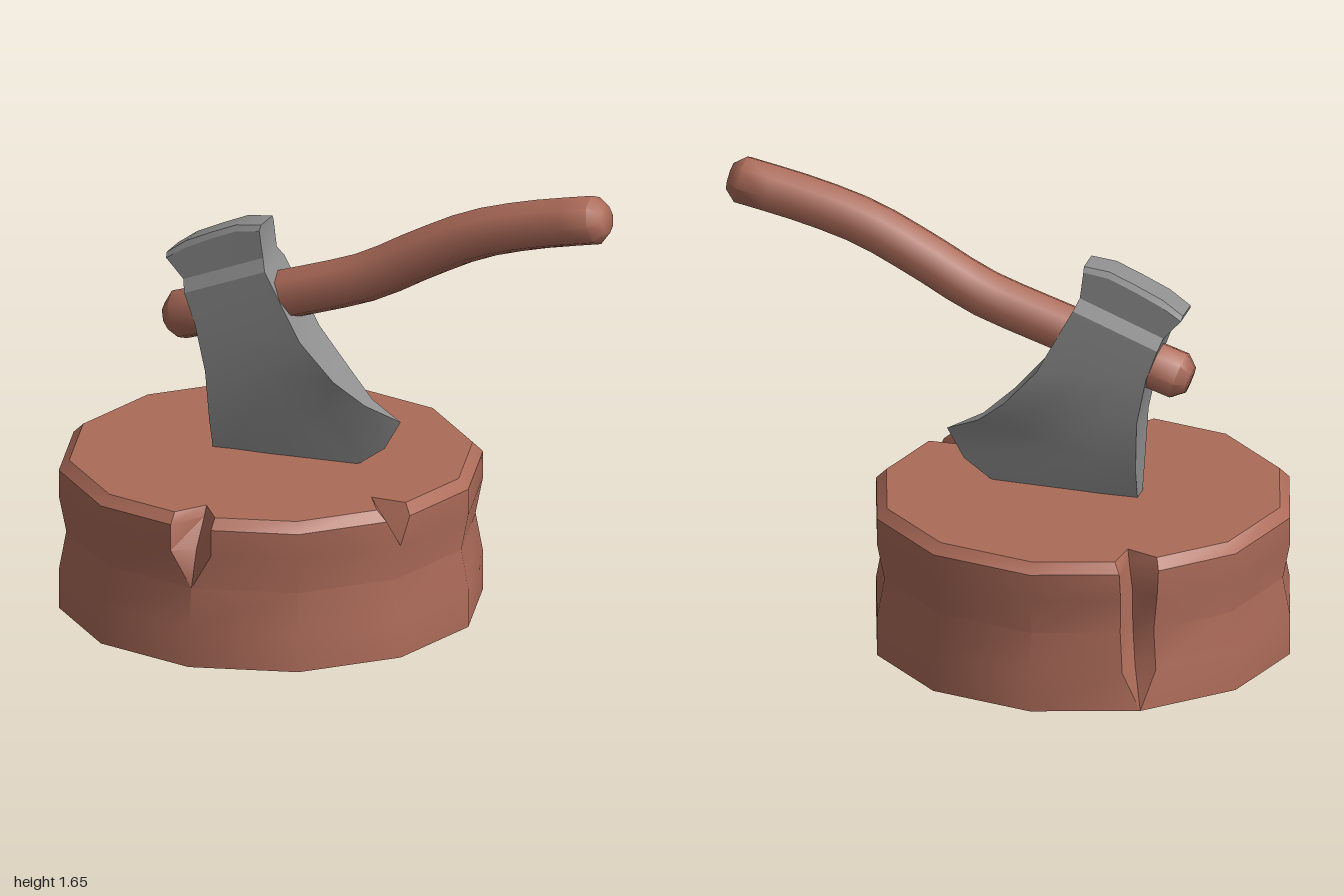
import * as THREE from 'three';
import { toCreasedNormals } from 'three/addons/utils/BufferGeometryUtils.js';

// Skin a list of equal-length closed rings (counter-clockwise about the direction of travel)
function loft(rings, { capStart = false, capEnd = false, crease = 0.6 } = {}) {
  const pos = [];
  const tri = (...pts) => pts.forEach(p => pos.push(p.x, p.y, p.z));
  const n = rings[0].length;
  for (let j = 0; j < rings.length - 1; j++) {
    for (let i = 0; i < n; i++) {
      const k = (i + 1) % n;
      const a = rings[j][i], b = rings[j][k], c = rings[j + 1][k], d = rings[j + 1][i];
      if (a.distanceTo(b) > 1e-5) tri(a, b, c);
      if (c.distanceTo(d) > 1e-5) tri(a, c, d);
    }
  }
  const cap = (ring, flip) => {
    const mid = ring.reduce((s, p) => s.add(p), new THREE.Vector3()).divideScalar(n);
    ring.forEach((p, i) => {
      const q = ring[(i + 1) % n];
      if (flip) tri(q, p, mid); else tri(p, q, mid);
    });
  };
  if (capStart) cap(rings[0], true);
  if (capEnd) cap(rings[rings.length - 1], false);
  const geo = new THREE.BufferGeometry();
  geo.setAttribute('position', new THREE.Float32BufferAttribute(pos, 3));
  return toCreasedNormals(geo, crease);
}

// Twelve-sided stump, open below, with three splits cut into its corners
function stumpGeometry() {
  const SIDES = 12, CX = -0.264;
  const levels = [[0, 0.736], [0.14, 0.736], [0.28, 0.71], [0.41, 0.736], [0.505, 0.736], [0.54, 0.70]];
  // corner index -> [half width, inner radius] for each level, null where uncut
  const splits = {
    0: [null, null, null, [0.075, 0.665], [0.075, 0.595], [0.075, 0.575]],
    2: [null, null, null, null, [0.05, 0.60], [0.062, 0.57]],
    7: [null, [0.06, 0.67], [0.06, 0.64], [0.065, 0.635], [0.07, 0.59], [0.075, 0.578]],
  };
  const rings = levels.map(([y, r], level) => {
    const corner = (i, rad = r) => {
      const a = (i / SIDES) * Math.PI * 2;
      return new THREE.Vector3(CX + rad * Math.sin(a), y, rad * Math.cos(a));
    };
    const side = 2 * r * Math.sin(Math.PI / SIDES);
    const ring = [];
    for (let i = 0; i < SIDES; i++) {
      if (!splits[i]) { ring.push(corner(i)); continue; }
      const [half, inner] = splits[i][level] ?? [0, r];
      const t = half / Math.cos(Math.PI / SIDES) / side;
      ring.push(corner(i).lerp(corner(i - 1), t), corner(i, inner), corner(i).lerp(corner(i + 1), t));
    }
    return ring;
  });
  // the top is a fan from the stump's axis
  rings.push(rings[rings.length - 1].map(() => new THREE.Vector3(CX, 0.54, 0)));
  return loft(rings);
}

// Curved octagonal handle with bevelled ends
function handleGeometry() {
  const curve = new THREE.CatmullRomCurve3([
    [-0.645, 0.98], [-0.4, 1.062], [-0.1, 1.162], [0.1, 1.235], [0.3, 1.345], [0.5, 1.445], [0.7, 1.508], [0.99, 1.572],
  ].map(([x, y]) => new THREE.Vector3(x, y, 0)));
  const stations = [[0, 0.05], [0.024, 0.088]];
  for (let i = 1; i < 16; i++) stations.push([0.024 + (i / 16) * 0.952, 0.088]);
  stations.push([0.976, 0.088], [1, 0.05]);
  const rings = stations.map(([t, r]) => {
    const p = curve.getPointAt(t), d = curve.getTangentAt(t);
    return Array.from({ length: 8 }, (_, i) => {
      const a = (i / 8) * Math.PI * 2, c = r * Math.cos(a);
      return new THREE.Vector3(p.x - d.y * c, p.y + d.x * c, r * Math.sin(a));
    });
  });
  return loft(rings, { capStart: true, capEnd: true, crease: 0.9 });
}

// Axe head: rows from the cutting edge up to the poll
function headGeometry() {
  const COLS = 5;
  const straight = (x0, y0, x1, y1) => Array.from({ length: COLS }, (_, i) => {
    const u = i / (COLS - 1);
    return [x0 + (x1 - x0) * u, y0 + (y1 - y0) * u];
  });
  // [outline points back to front, half thickness at back, half thickness at front]
  const rows = [
    [[[-0.465, 0.41], [-0.2, 0.44], [0.07, 0.545], [0.16, 0.61], [0.22, 0.715]], 0, 0],
    [straight(-0.467, 0.65, 0.1, 0.77), 0.066, 0.035],
    [straight(-0.475, 0.83, 0, 0.855), 0.083, 0.075],
    [straight(-0.51, 1.0, -0.12, 0.99), 0.09, 0.09],
    [straight(-0.55, 1.11, -0.25, 1.23), 0.09, 0.09],
    [straight(-0.565, 1.15, -0.268, 1.27), 0.062, 0.062],
    [[[-0.628, 1.22], [-0.56, 1.265], [-0.465, 1.312], [-0.37, 1.353], [-0.281, 1.367]], 0.064, 0.064],
    [[[-0.632, 1.236], [-0.56, 1.288], [-0.465, 1.333], [-0.37, 1.374], [-0.28, 1.385]], 0.052, 0.052],
  ];
  const rings = rows.map(([pts, back, front]) => {
    const face = s => pts.map(([x, y], i) =>
      new THREE.Vector3(x, y, s * (back + (front - back) * i / (COLS - 1))));
    return [...face(1), ...face(-1).reverse()];
  });
  // close the poll with a strip across its curved top
  const top = rings[rings.length - 1];
  rings.push(top.map(p => new THREE.Vector3(p.x, p.y, 0)));
  return loft(rings, { crease: 0.45 });
}

export function createModel() {
  const wood = new THREE.MeshStandardMaterial({ color: 0xac6b59, side: THREE.DoubleSide });
  wood.name = 'wood';
  const steel = new THREE.MeshStandardMaterial({ color: 0x8e8e8e });
  steel.name = 'steel';

  const model = new THREE.Group();
  model.name = 'axeInStump';
  const add = (name, geometry, material, parent) => {
    const mesh = new THREE.Mesh(geometry, material);
    mesh.name = name;
    parent.add(mesh);
  };
  add('stump', stumpGeometry(), wood, model);
  const axe = new THREE.Group();
  axe.name = 'axe';
  add('handle', handleGeometry(), wood, axe);
  add('axeHead', headGeometry(), steel, axe);
  model.add(axe);
  return model;
}
